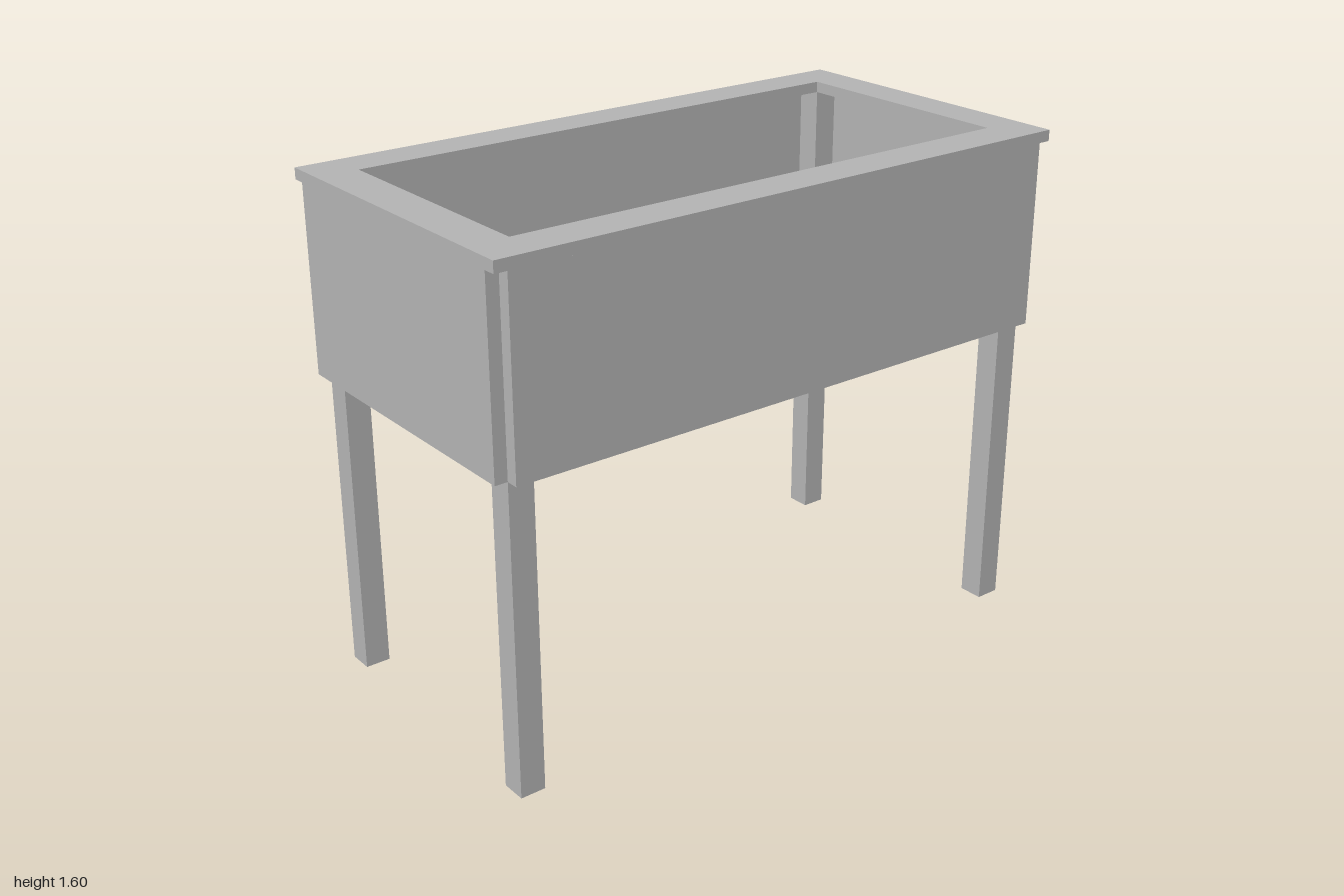
import * as THREE from 'three';

export function createModel() {
  const model = new THREE.Group();
  model.name = 'raisedPlanter';
  const grey = new THREE.MeshStandardMaterial({ color: 0xb2b2b2 });
  grey.name = 'plain grey';

  // Axis-aligned board given by its extents
  const board = (name, [x0, x1], [y0, y1], [z0, z1]) => {
    const mesh = new THREE.Mesh(new THREE.BoxGeometry(x1 - x0, y1 - y0, z1 - z0), grey);
    mesh.position.set((x0 + x1) / 2, (y0 + y1) / 2, (z0 + z1) / 2);
    mesh.name = name;
    model.add(mesh);
  };
  const side = (s, a, b) => (s > 0 ? [a, b] : [-b, -a]);

  const boxBottom = 0.98, rimBottom = 1.565, top = 1.6, railTop = 1.06;
  const wallY = [boxBottom, rimBottom], railY = [boxBottom, railTop];

  for (const s of [1, -1]) {
    const sideName = s > 0 ? 'left' : 'right', faceName = s > 0 ? 'front' : 'back';

    // Walls stop short of each other, leaving open notches at the corners
    board(faceName + 'Wall', [-0.96, 0.96], wallY, side(s, 0.48, 0.52));
    board(sideName + 'Wall', side(s, 0.96, 1), wallY, [-0.48, 0.48]);

    // Rails between the legs carry the floor
    board(faceName + 'Rail', [-0.88, 0.88], railY, side(s, 0.4, 0.48));
    board(sideName + 'Rail', side(s, 0.88, 0.96), railY, [-0.4, 0.4]);

    // Legs run up inside the corners to the rim
    for (const t of [1, -1]) {
      board((t > 0 ? 'front' : 'back') + (s > 0 ? 'Left' : 'Right') + 'Leg',
        side(s, 0.88, 0.96), [0, rimBottom], side(t, 0.4, 0.48));
    }
  }

  // Floor slats with even gaps
  const slatWidth = 0.293, pitch = 0.365;
  for (let i = -2; i <= 2; i++) {
    const x = i * pitch;
    board('floorSlat' + (i + 3), [x - slatWidth / 2, x + slatWidth / 2],
      [railTop, railTop + 0.04], [-0.48, 0.48]);
  }

  // Flat rim with a rectangular opening
  const rectangle = (path, w, d) =>
    path.moveTo(-w, -d).lineTo(w, -d).lineTo(w, d).lineTo(-w, d).closePath();
  const outline = rectangle(new THREE.Shape(), 1, 0.52);
  outline.holes.push(rectangle(new THREE.Path(), 0.868, 0.388));
  const rim = new THREE.Mesh(
    new THREE.ExtrudeGeometry(outline, { depth: top - rimBottom, bevelEnabled: false }), grey);
  rim.rotation.x = -Math.PI / 2;
  rim.position.y = rimBottom;
  rim.name = 'rim';
  model.add(rim);

  return model;
}
